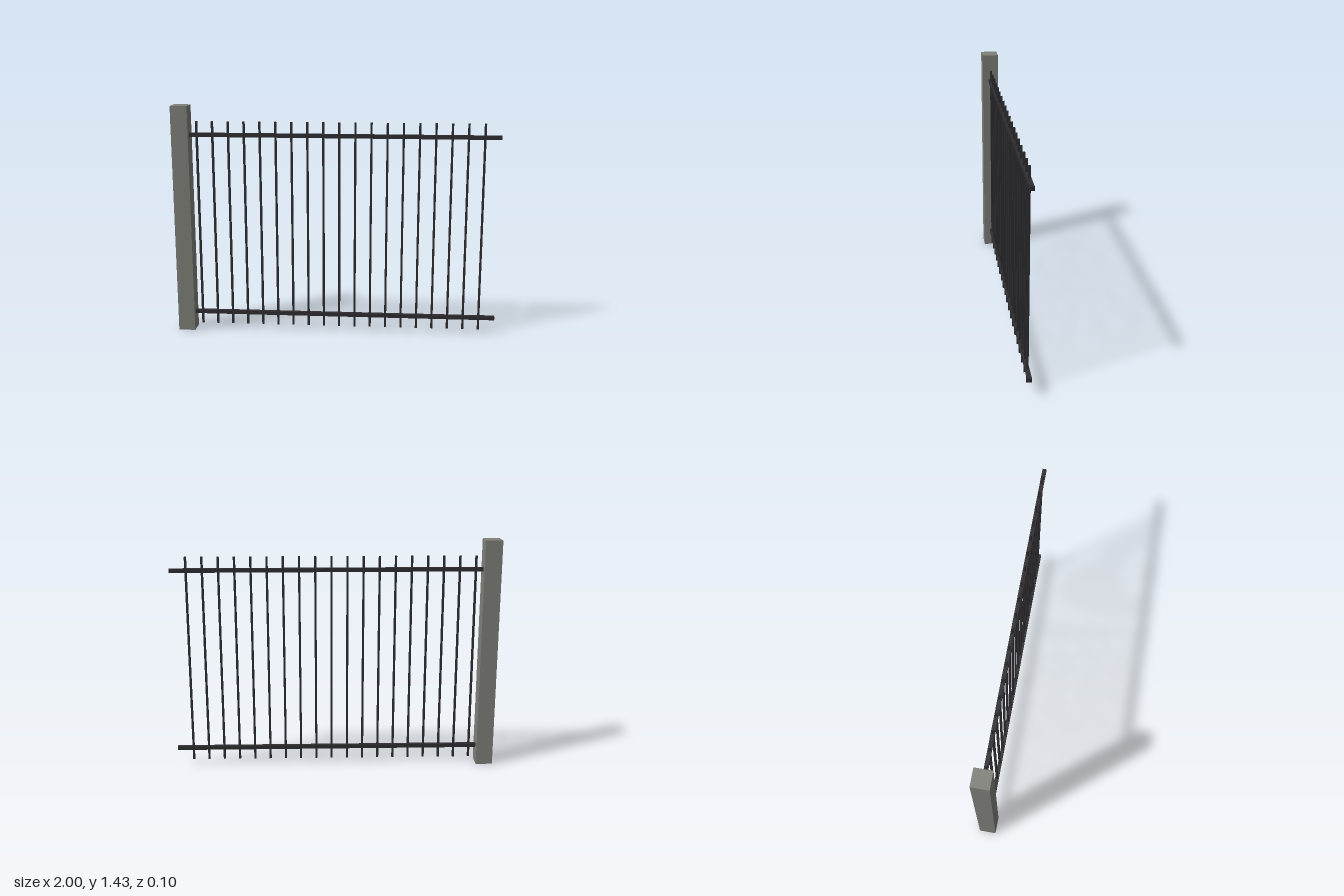
import * as THREE from 'three';

export function createModel() {
  const group = new THREE.Group();
  group.name = 'fencePanel';

  const stone = new THREE.MeshStandardMaterial({ color: 0x80807a });
  stone.name = 'grey stone';
  const iron = new THREE.MeshStandardMaterial({ color: 0x2f2d30 });
  iron.name = 'dark iron';

  // Box given by its extents along x and y, centred on z = 0
  function box(name, x0, x1, y0, y1, depth, material) {
    const mesh = new THREE.Mesh(new THREE.BoxGeometry(x1 - x0, y1 - y0, depth), material);
    mesh.position.set((x0 + x1) / 2, (y0 + y1) / 2, 0);
    mesh.name = name;
    group.add(mesh);
  }

  // Square end post
  box('post', -1, -0.896, 0, 1.43, 0.104, stone);

  // Horizontal rails, butted against the post
  const rail = 0.024;
  box('bottomRail', -0.896, 1, 0.112 - rail / 2, 0.112 + rail / 2, rail, iron);
  box('topRail', -0.896, 1, 1.25 - rail / 2, 1.25 + rail / 2, rail, iron);

  // Evenly spaced upright bars passing through the rails
  const count = 19, first = -0.853, last = 0.901, half = 0.0065;
  for (let i = 0; i < count; i++) {
    const x = first + (last - first) * i / (count - 1);
    box('bar' + (i + 1), x - half, x + half, 0.035, 1.333, half * 2, iron);
  }

  return group;
}
